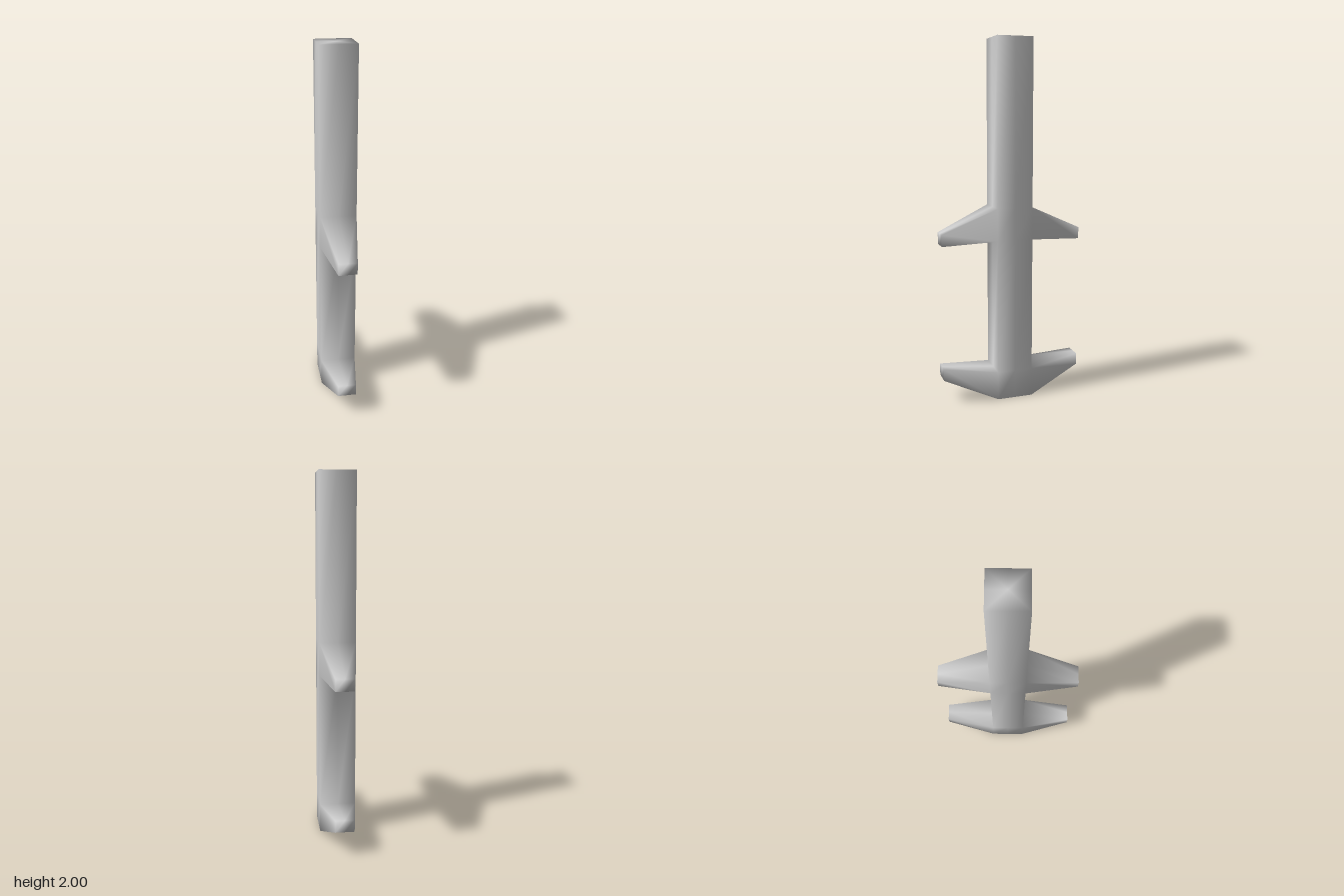
import * as THREE from 'three';

const R = 0.1; // half width of the square post
const RING = [[-1, 1], [0, 1], [1, 1], [1, 0], [1, -1], [0, -1], [-1, -1], [-1, 0]];
const LEVELS = [0, 0.16, 0.91, 1.09, 2];

// root bottom/top and tip bottom/top heights of each pair of prongs
const PRONGS = [
  { name: 'lower', level: 0, root: [0, 0.16], tip: [0.13, 0.195] },
  { name: 'upper', level: 2, root: [0.91, 1.09], tip: [0.89, 0.955] },
];

export function createModel() {
  const positions = [], lookup = new Map(), parts = {};

  // shared vertices give one smooth skin over all parts
  const vertex = (x, y, z) => {
    const key = [x, y, z].map((v) => Math.round(v * 1e4)).join();
    if (!lookup.has(key)) {
      lookup.set(key, positions.length / 3);
      positions.push(x, y, z);
    }
    return lookup.get(key);
  };
  const quad = (list, a, b, c, d) => list.push(a, b, c, a, c, d);

  // post: stacked square rings, left open where the prongs join
  const post = (parts.post = []);
  const rings = LEVELS.map((y) => RING.map(([x, z]) => vertex(x * R, y, z * R)));
  const last = rings.length - 1;
  for (let l = 0; l < last; l++) {
    const joined = PRONGS.some((p) => p.level === l);
    for (let i = 0; i < 8; i++) {
      if (joined && [0, 1, 4, 5].includes(i)) continue;
      const j = (i + 1) % 8;
      quad(post, rings[l][i], rings[l][j], rings[l + 1][j], rings[l + 1][i]);
    }
  }
  // end caps
  const bottom = vertex(0, 0, 0), top = vertex(0, 2, 0);
  for (let i = 0; i < 8; i++) {
    const j = (i + 1) % 8;
    post.push(bottom, rings[0][j], rings[0][i], top, rings[last][i], rings[last][j]);
  }

  // tapered prongs, front and back
  for (const { name, root, tip } of PRONGS) {
    for (const side of [1, -1]) {
      const list = (parts[name + (side > 0 ? 'Front' : 'Back') + 'Prong'] = []);
      const loop = (w, [lo, hi], z) =>
        [[-w, lo], [0, lo], [w, lo], [w, hi], [0, hi], [-w, hi]].map(([x, y]) =>
          vertex(x * side, y, z * side));
      const a = loop(R, root, R), b = loop(0.05, tip, 0.4);
      for (let i = 0; i < 6; i++) {
        const j = (i + 1) % 6;
        quad(list, a[i], a[j], b[j], b[i]);
      }
      quad(list, b[0], b[1], b[4], b[5]);
      quad(list, b[1], b[2], b[3], b[4]);
    }
  }

  // smooth normals across the whole skin
  const skin = new THREE.BufferGeometry();
  skin.setAttribute('position', new THREE.Float32BufferAttribute(positions, 3));
  skin.setIndex(Object.values(parts).flat());
  skin.computeVertexNormals();

  const material = new THREE.MeshStandardMaterial({ color: 0xcccccc });
  const group = new THREE.Group();
  group.name = 'prongedPost';
  for (const [name, index] of Object.entries(parts)) {
    const geometry = skin.clone().setIndex(index);
    const mesh = new THREE.Mesh(geometry, material);
    mesh.name = name;
    group.add(mesh);
  }
  return group;
}
